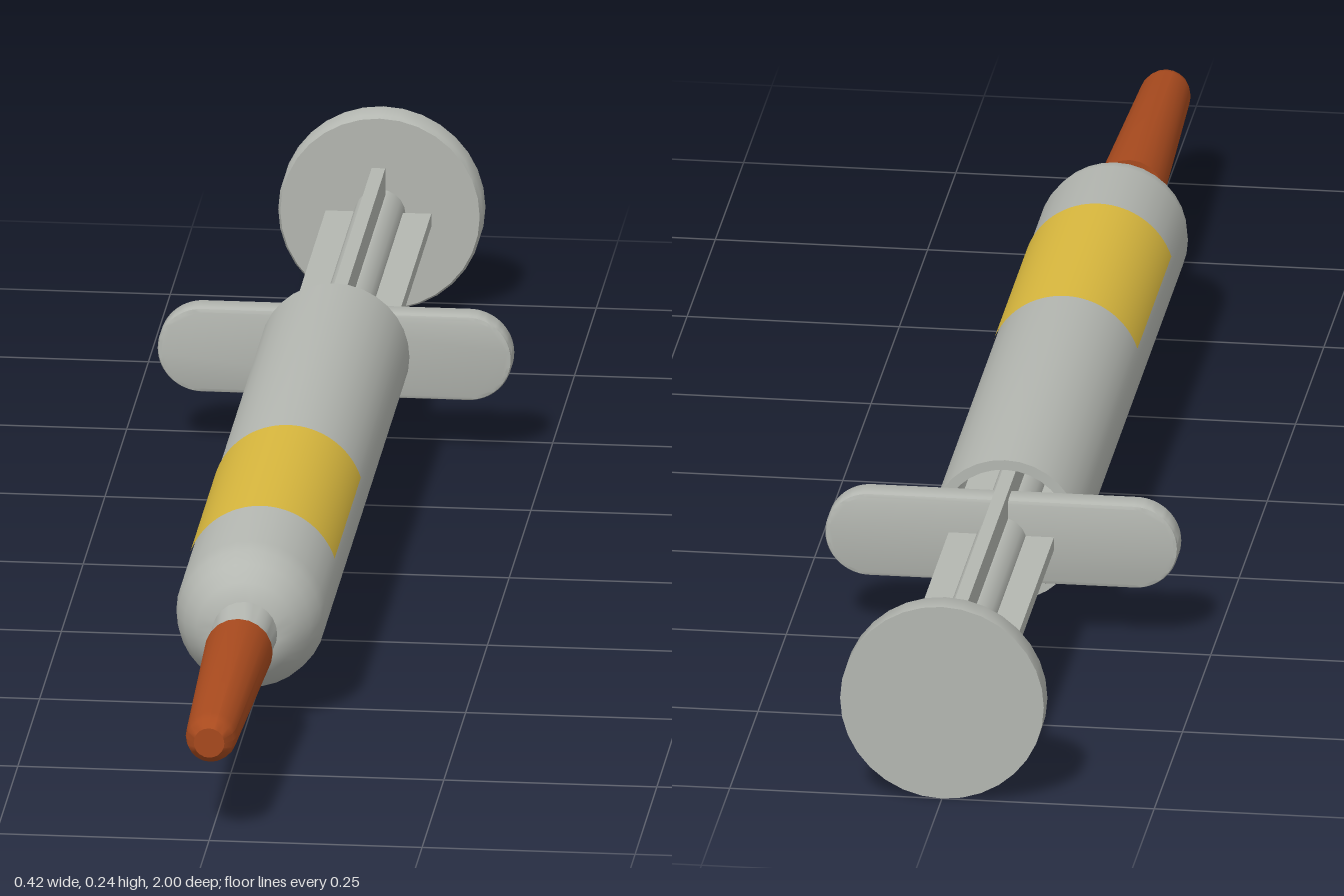
import * as THREE from 'three';
import { toCreasedNormals } from 'three/addons/utils/BufferGeometryUtils.js';

const AXIS_Y = 0.122;

export function createModel() {
  const group = new THREE.Group();
  const material = (name, color) => {
    const m = new THREE.MeshStandardMaterial({ color });
    m.name = name;
    return m;
  };
  const plastic = material('grey plastic', 0xb4b7b1);
  const orange = material('burnt orange', 0xa84a1e);
  const yellow = material('label yellow', 0xd9b83e);
  yellow.side = THREE.DoubleSide;

  const add = (name, geometry, mat) => {
    const mesh = new THREE.Mesh(geometry, mat);
    mesh.name = name;
    mesh.position.y = AXIS_Y;
    group.add(mesh);
    return mesh;
  };
  // Solid of revolution along z; profile is [radius, z] from back to front
  const turned = (name, profile, mat, segments = 32) => {
    const points = profile.map(([r, z]) => new THREE.Vector2(r, z));
    const geometry = new THREE.LatheGeometry(points, segments).rotateX(Math.PI / 2);
    return add(name, toCreasedNormals(geometry, 0.6), mat);
  };

  // Hollow barrel, open at the back, with rounded shoulder
  turned('barrel', [
    [0, -0.1], [0.076, -0.1], [0.076, -0.44], [0.088, -0.44], [0.088, 0.515],
    [0.084, 0.538], [0.074, 0.56], [0.058, 0.58], [0.04, 0.592], [0, 0.592],
  ], plastic);
  turned('nozzle', [[0.039, 0.585], [0.03, 0.67]], plastic, 24);

  // Needle cap
  turned('needleCap', [
    [0, 0.66], [0.04, 0.66], [0.03, 0.975], [0.027, 0.988], [0.018, 1], [0, 1],
  ], orange, 20);

  // Label wrapped over the upper part of the barrel
  const arc = Math.PI * 0.8;
  const label = new THREE.CylinderGeometry(0.0895, 0.0895, 0.3, 32, 1, true, Math.PI - arc / 2, arc);
  label.rotateX(Math.PI / 2);
  add('label', label, yellow).position.z = 0.24;

  // Finger flange with rounded ends
  const half = 0.156, r = 0.047;
  const outline = new THREE.Shape();
  outline.absarc(half, 0, r, -Math.PI / 2, Math.PI / 2, false);
  outline.absarc(-half, 0, r, Math.PI / 2, Math.PI * 1.5, false);
  outline.closePath();
  const flange = new THREE.ExtrudeGeometry(outline, {
    depth: 0.025, bevelSize: 0.005, bevelThickness: 0.005, bevelSegments: 2, curveSegments: 16,
  });
  add('fingerFlange', toCreasedNormals(flange, 0.6), plastic).position.z = -0.47;

  // Plunger rod: round core with four fins
  turned('plungerCore', [[0.03, -0.97], [0.03, -0.12]], plastic, 20);
  for (const [w, h] of [[0.124, 0.016], [0.016, 0.124]]) {
    add('plungerFin', new THREE.BoxGeometry(w, h, 0.82), plastic).position.z = -0.535;
  }

  // Thumb rest
  turned('thumbRest', [
    [0, -1], [0.12, -1], [0.12, -0.968], [0.117, -0.963], [0, -0.963],
  ], plastic);

  return group;
}
